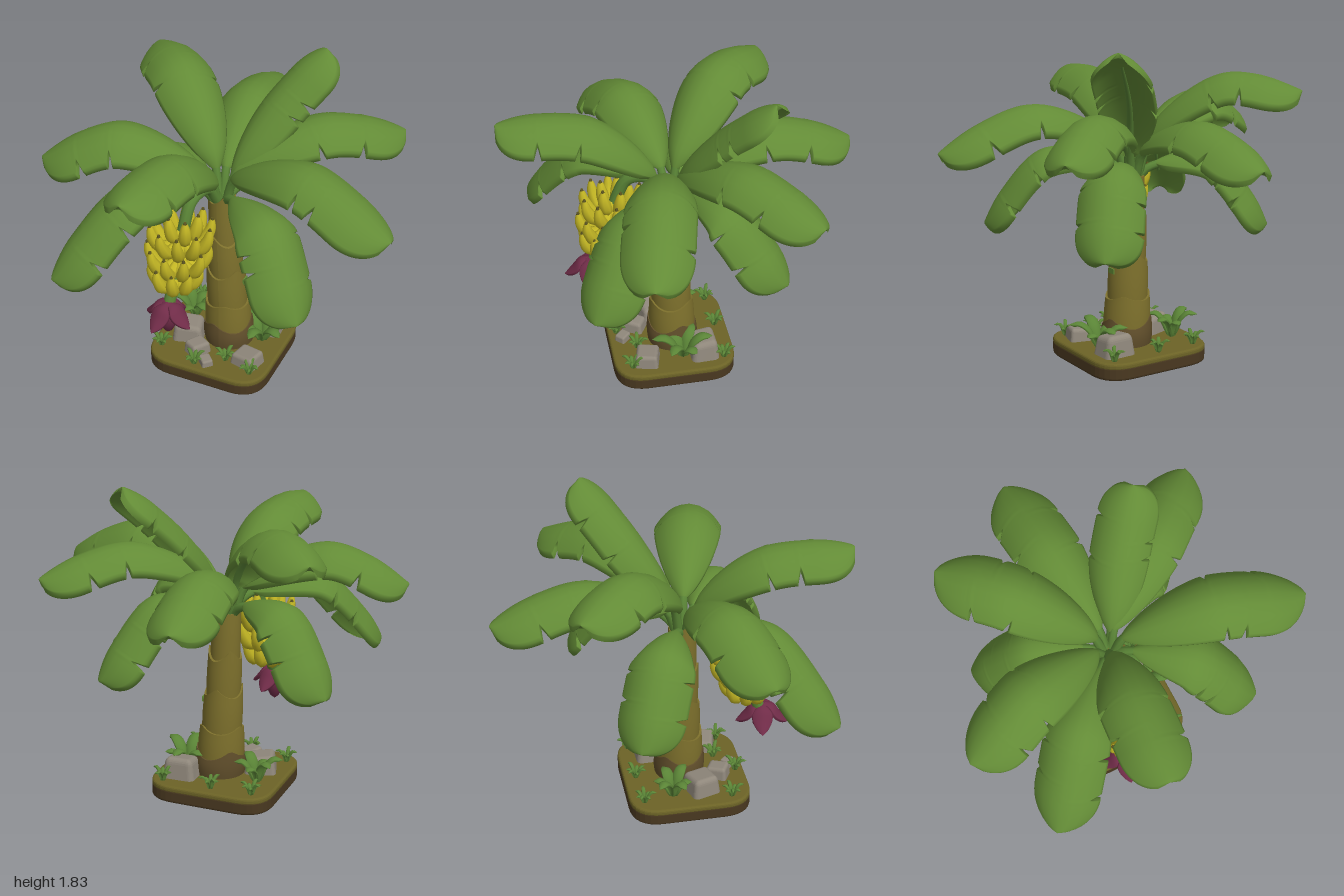
import * as THREE from 'three';
import { RoundedBoxGeometry } from 'three/addons/geometries/RoundedBoxGeometry.js';

const mat = (name, color) => Object.assign(new THREE.MeshStandardMaterial({ color }), { name });
const M = {
  leaf: mat('leaf green', 0x638b36),
  stem: mat('stem green', 0x5a8436),
  trunk: mat('trunk olive', 0x7d702c),
  bark: mat('dark bark', 0x5f4d2a),
  moss: mat('moss', 0x6c6326),
  soil: mat('soil brown', 0x493820),
  rock: mat('rock grey', 0x8f877b),
  banana: mat('banana yellow', 0xc4b724),
  tip: mat('banana tip', 0x5d5620),
  flower: mat('flower maroon', 0x702c48),
};
const V = (x, y, z) => new THREE.Vector3(x, y, z);

function add(parent, name, geo, material, x = 0, y = 0, z = 0) {
  const m = new THREE.Mesh(geo, material);
  m.name = name;
  m.position.set(x, y, z);
  parent.add(m);
  return m;
}

// Sweep a closed cross-section, given as [side, up] pairs, along a curve
function sweep(curve, t0, t1, n, ringAt) {
  const a = curve.getPoint(0), b = curve.getPoint(1);
  const S = V(a.z - b.z, 0, b.x - a.x).normalize();
  const pos = [], idx = [];
  let k = 0;
  for (let i = 0; i <= n; i++) {
    const s = i / n, t = t0 + (t1 - t0) * s;
    const p = curve.getPointAt(t), N = S.clone().cross(curve.getTangentAt(t)).normalize();
    const ring = ringAt(s);
    k = ring.length;
    for (const [u, v] of ring) pos.push(p.x + S.x * u + N.x * v, p.y + S.y * u + N.y * v, p.z + S.z * u + N.z * v);
  }
  for (let i = 0; i < n; i++) for (let j = 0; j < k; j++) {
    const p = i * k + j, q = i * k + (j + 1) % k;
    idx.push(p, q, q + k, p, q + k, p + k);
  }
  const g = new THREE.BufferGeometry();
  g.setAttribute('position', new THREE.Float32BufferAttribute(pos, 3));
  g.setIndex(idx);
  g.computeVertexNormals();
  return g;
}

// Round rod whose radius varies along the curve
const rod = (curve, n, radius, sides = 8, t1 = 1, drop = 0) => sweep(curve, 0, t1, n, s =>
  Array.from({ length: sides }, (_, j) => {
    const a = j / sides * Math.PI * 2;
    return [Math.sin(a) * radius(s), Math.cos(a) * radius(s) - drop * Math.min(1, s * 4)];
  }));

// Arched blade with a rounded, drooping tip and optional torn notches [side, position]
const US = [-1, -0.95, -0.82, -0.6, -0.3, 0, 0.3, 0.6, 0.82, 0.95, 1];
function blade(curve, { W, t0 = 0, n = 10, arch = 0.5, thick = 0.02, notches = [], tipAt = 0.78, tipPow = 0.5, droop = 0 }) {
  return sweep(curve, t0, 1, n, s => {
    const rise = Math.pow(Math.sin(Math.min(s / 0.55, 1) * Math.PI / 2), 0.65);
    const e = Math.max(0, (s - tipAt) / (1 - tipAt));
    const w = Math.max(W * rise * Math.pow(Math.max(0, 1 - e ** 2.4), tipPow), W * 0.01);
    const th = thick * Math.min(1, w / (W * 0.3));
    const at = u => {
      let f = 1;
      for (const [side, c] of notches) if (side * u > 0) f -= 0.24 * Math.max(0, 1 - Math.abs(s - c) / 0.02);
      return [u * w * f, -arch * w * Math.abs(u * f) ** 2.4 - droop * e * e + (u === 0 ? 0.1 * th : 0)];
    };
    const top = US.map(at);
    const under = US.map(u => { const [x, y] = at(u); return [x * 0.96, y - th]; }).reverse();
    return [...top, ...under];
  });
}

function makeBase(root) {
  const slab = (r, hx, hz, depth, bevel) => {
    const s = new THREE.Shape(), x = hx - bevel, z = hz - bevel;
    s.moveTo(-x + r, -z);
    s.lineTo(x - r, -z); s.quadraticCurveTo(x, -z, x, -z + r);
    s.lineTo(x, z - r); s.quadraticCurveTo(x, z, x - r, z);
    s.lineTo(-x + r, z); s.quadraticCurveTo(-x, z, -x, z - r);
    s.lineTo(-x, -z + r); s.quadraticCurveTo(-x, -z, -x + r, -z);
    return new THREE.ExtrudeGeometry(s, { depth: depth - 2 * bevel, bevelSize: bevel, bevelThickness: bevel, bevelSegments: 3, curveSegments: 8 })
      .translate(0, 0, bevel).rotateX(-Math.PI / 2);
  };
  add(root, 'soilSlab', slab(0.16, 0.36, 0.35, 0.08, 0.015), M.soil, -0.04, 0, 0.08);
  add(root, 'mossTop', slab(0.16, 0.36, 0.35, 0.04, 0.014), M.moss, -0.04, 0.06, 0.08);
}

function makeTrunk(root) {
  const g = new THREE.Group();
  g.name = 'trunk';
  root.add(g);
  // Overlapping sheaths, each with a pointed upper lip: y0, y1, bottom radius, top radius
  const sheath = (name, y0, y1, rb, rt, phase, wave, material) => {
    const h = y1 - y0, geo = new THREE.CylinderGeometry(rt, rb, h, 36, 6);
    const p = geo.attributes.position;
    for (let i = 0; i < p.count; i++) {
      const a = Math.atan2(p.getZ(i), p.getX(i)), f = p.getY(i) / h + 0.5, bulge = 1 + 0.05 * Math.sin(f * Math.PI);
      const Y = (y0 + y1) / 2 + p.getY(i) + f * f * wave * (1 - 2 * Math.abs(Math.sin(a * 1.5 + phase)));
      p.setXYZ(i, p.getX(i) * bulge - 0.01 - 0.038 * Y, Y, p.getZ(i) * bulge + 0.06 + 0.01 * Y);
    }
    geo.computeVertexNormals();
    add(g, name, geo, material);
  };
  sheath('trunkFoot', 0.09, 0.235, 0.141, 0.138, 0.4, 0.03, M.bark);
  sheath('sheath1', 0.1, 0.38, 0.128, 0.125, 1.2, 0.018, M.trunk);
  sheath('sheath2', 0.3, 0.6, 0.11, 0.108, 2.3, 0.03, M.trunk);
  sheath('sheath3', 0.5, 0.82, 0.094, 0.094, 0.3, 0.035, M.trunk);
  sheath('sheath4', 0.7, 1.09, 0.082, 0.076, 1.7, 0.03, M.trunk);
  // Small moss patches
  add(g, 'mossPatch', new THREE.BoxGeometry(0.008, 0.035, 0.04), M.leaf, 0.037, 0.97, 0.07);
  add(g, 'mossPatch', new THREE.BoxGeometry(0.008, 0.03, 0.05), M.leaf, 0.084, 0.53, 0.06);
}

function makeCrown(root) {
  // Midpoint, tip and half width of each leaf
  const leaves = [
    [[-0.125, 1.44, -0.46], [-0.165, 1.3, -0.99], 0.185],
    [[-0.13, 1.54, 0.45], [-0.18, 1.59, 0.975], 0.185],
    [[0.47, 1.49, 0.2], [1.015, 1.29, 0.33], 0.19],
    [[-0.57, 1.47, 0.21], [-1.015, 1.28, 0.36], 0.19],
    [[-0.43, 1.25, 0.45], [-0.75, 0.81, 0.8], 0.185],
    [[0.34, 1.21, 0.35], [0.63, 0.79, 0.595], 0.185],
    [[0.36, 1.49, -0.25], [0.765, 1.37, -0.595], 0.18],
    [[-0.42, 1.64, -0.25], [-0.74, 1.6, -0.57], 0.185],
    [[0.1, 1.54, -0.15], [0.325, 1.86, -0.4], 0.16],
    [[0.25, 1.19, -0.22], [0.49, 0.79, -0.51], 0.185],
    [[-0.46, 1.19, -0.12], [-0.77, 0.78, -0.29], 0.185],
  ];
  leaves.forEach(([m, t, W], i) => {
    const g = new THREE.Group();
    g.name = 'palmLeaf' + (i + 1);
    root.add(g);
    const dir = V(t[0] + 0.06, 0, t[2] - 0.07).normalize();
    const c = new THREE.CatmullRomCurve3([
      V(-0.055 + dir.x * 0.03, 1.04, 0.07 + dir.z * 0.03),
      V(-0.06 + dir.x * 0.09, 1.06 + (m[1] - 1.06) * 0.45, 0.07 + dir.z * 0.09),
      V(...m), V(...t)]);
    const o = (i % 3) * 0.04;
    add(g, 'leafBlade', blade(c, {
      W, t0: 0.13, n: 100, arch: 0.66, thick: 0.03, droop: 0.035,
      notches: [[1, 0.47 + o], [1, 0.74 - o], [-1, 0.58 - o], [-1, 0.78]],
    }), M.leaf);
    add(g, 'leafStalk', rod(c, 24, s => 0.027 - 0.019 * s, 8, 0.88, 0.032), M.stem);
  });
}

function makeBunch(root) {
  const g = new THREE.Group();
  g.name = 'bananaBunch';
  root.add(g);
  const stalk = new THREE.CatmullRomCurve3([V(-0.06, 1.05, 0.09), V(-0.09, 1.18, 0.17), V(-0.13, 1.16, 0.28),
    V(-0.15, 1.0, 0.355), V(-0.165, 0.8, 0.4), V(-0.18, 0.59, 0.485)]);
  add(g, 'bunchStalk', new THREE.TubeGeometry(stalk, 32, 0.034, 10), M.stem);
  // Tiers of bananas growing outward and curving up: height, reach, rise, count, turn
  const tiers = [[0.99, 0.08, 0.115, 5, 0.3], [0.935, 0.16, 0.125, 10, 0], [0.815, 0.16, 0.12, 10, 0.31], [0.71, 0.13, 0.11, 9, 0.1]];
  for (const [y, r, h, n, turn] of tiers) {
    const c = new THREE.CatmullRomCurve3([V(0.02, 0.02, 0), V(r * 0.65, -0.02, 0), V(r * 0.97, h * 0.4, 0), V(r * 1.06, h, 0)]);
    const body = rod(c, 14, s => 0.007 + 0.029 * Math.pow(Math.sin(Math.PI * Math.min(1, 0.06 + s * 0.92)), 0.65));
    const end = c.getPoint(1);
    for (let i = 0; i < n; i++) {
      const b = new THREE.Group();
      b.name = 'banana';
      b.position.set(-0.15 - (1 - y) * 0.07, y, 0.355 + (1 - y) * 0.2);
      b.rotation.y = turn + i / n * Math.PI * 2;
      add(b, 'bananaBody', body, M.banana);
      add(b, 'bananaTip', new THREE.CylinderGeometry(0.007, 0.011, 0.018, 6), M.tip, end.x, end.y + 0.002, 0);
      g.add(b);
    }
  }
  // Hanging bud with four flared, pointed petals
  const f = new THREE.Group();
  f.name = 'flower';
  f.position.set(-0.18, 0, 0.505);
  g.add(f);
  const bud = [[0.0, 0.405], [0.025, 0.425], [0.052, 0.48], [0.06, 0.53], [0.052, 0.58], [0.028, 0.61], [0, 0.615]];
  add(f, 'flowerBud', new THREE.LatheGeometry(bud.map(p => new THREE.Vector2(...p)), 16), M.flower);
  for (let i = 0; i < 4; i++) {
    const a = i / 4 * Math.PI * 2 + 0.2, P = (r, y) => V(Math.cos(a) * r, y, Math.sin(a) * r);
    const c = new THREE.CatmullRomCurve3([P(0.01, 0.615), P(0.06, 0.6), P(0.1, 0.55), P(0.15, 0.49)]);
    add(f, 'petal', blade(c, { W: 0.06, n: 14, arch: 0.35, thick: 0.014, tipAt: 0.3, tipPow: 0.9 }), M.flower);
  }
}

function makeGround(root) {
  // Boulders narrowing upward: x, z, width, height, depth
  [[-0.23, 0.15, 0.18, 0.1, 0.17], [0.16, -0.09, 0.16, 0.115, 0.19], [0.18, 0.24, 0.16, 0.07, 0.14],
    [-0.12, 0.27, 0.13, 0.07, 0.11], [-0.03, 0.35, 0.08, 0.04, 0.07]].forEach(([x, z, w, h, d], i) => {
    const geo = new RoundedBoxGeometry(w, h + 0.04, d, 3, h * 0.28), p = geo.attributes.position;
    for (let j = 0; j < p.count; j++) {
      const k = 0.95 - 1.6 * p.getY(j), slope = 1 + 1.5 * p.getX(j) * (i % 2 ? 1 : -1);
      p.setXYZ(j, p.getX(j) * k, p.getY(j) * slope, p.getZ(j) * k);
    }
    geo.computeVertexNormals();
    add(root, 'rock', geo, M.rock, x, 0.08 + h / 2, z).rotation.y = i * 1.3 + 0.3;
  });
  // Tufts: x, z, leaf count, reach, height, half width
  const tuft = (name, x, z, n, reach, h, W) => {
    const g = new THREE.Group();
    g.name = name;
    root.add(g);
    for (let i = 0; i < n; i++) {
      const a = i / n * Math.PI * 2 + x * 9, k = 0.85 + 0.15 * Math.cos(i * 2.4);
      const P = (r, y) => V(x + Math.cos(a) * r * reach * k, 0.095 + y * h * k, z + Math.sin(a) * r * reach * k);
      const c = new THREE.CatmullRomCurve3([P(0.04, 0), P(0.3, 0.75), P(0.65, 1), P(1, 0.88)]);
      add(g, name + 'Leaf', blade(c, { W, n: 10, arch: 0.4, thick: 0.008, tipAt: 0.45 }), M.stem);
    }
  };
  tuft('broadPlant', 0.18, 0.03, 6, 0.18, 0.165, 0.036);
  tuft('broadPlant', -0.27, -0.02, 6, 0.15, 0.165, 0.034);
  for (const [x, z] of [[-0.33, 0.31], [0.23, 0.33], [-0.09, 0.38], [0.23, -0.2], [-0.3, -0.19], [0.06, 0.28], [-0.06, -0.2]])
    tuft('grassTuft', x, z, 7, 0.07, 0.085, 0.011);
}

export function createModel() {
  const root = new THREE.Group();
  root.name = 'bananaPlant';
  makeBase(root);
  makeTrunk(root);
  makeCrown(root);
  makeBunch(root);
  makeGround(root);
  return root;
}
